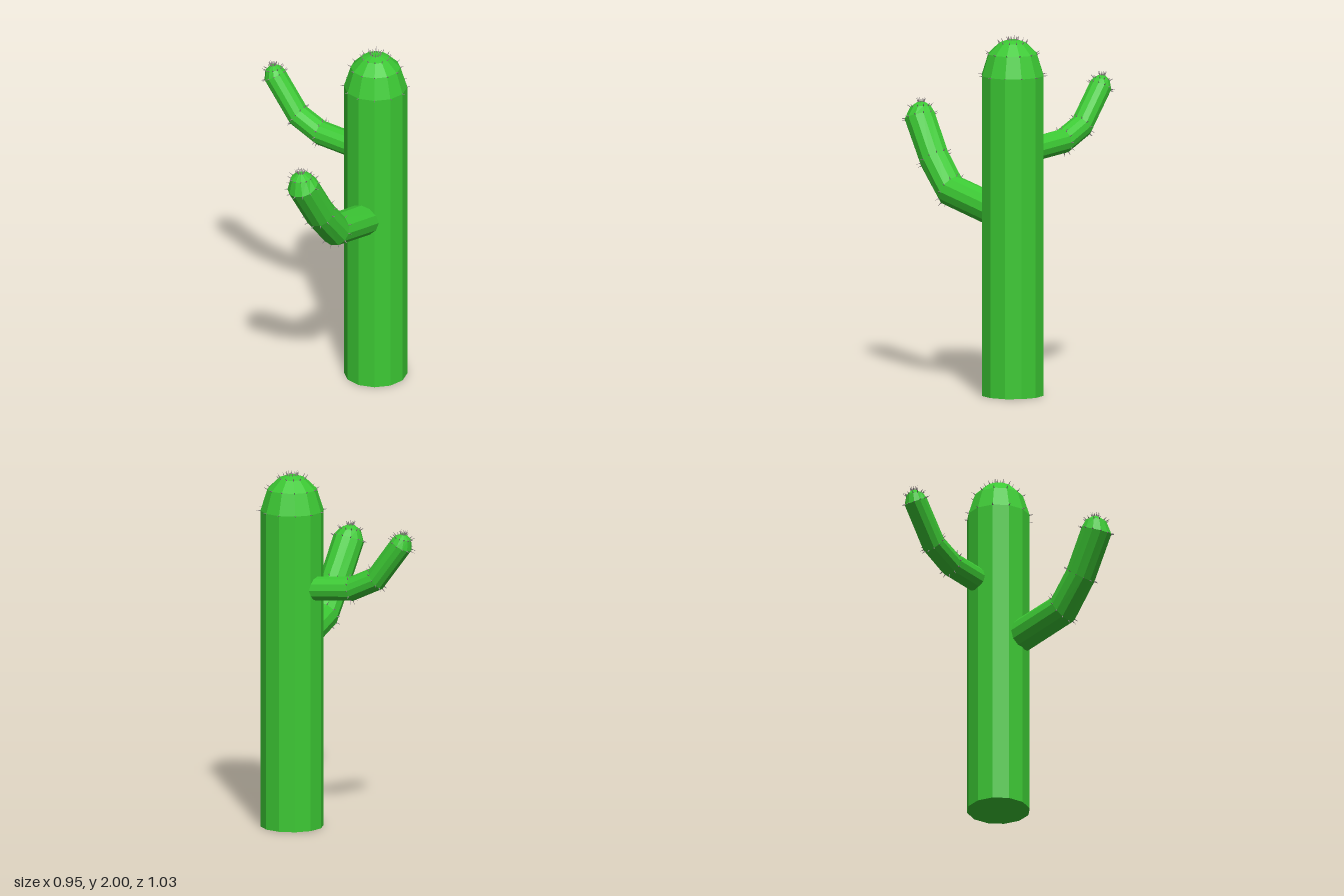
import * as THREE from 'three';
import { mergeGeometries } from 'three/addons/utils/BufferGeometryUtils.js';

const SIDES = 12;
const V = (x, y, z) => new THREE.Vector3(x, y, z);
const green = new THREE.MeshStandardMaterial({ color: 0x3cc934, flatShading: true });
const grey = new THREE.MeshStandardMaterial({ color: 0x8c8484, flatShading: true });

// ring: c centre, n facing, r radius, tilt = lean of its spines towards n (omit for none)
const ring = (c, n, r, tilt) => ({ c: V(...c), n: V(...n).normalize(), r, tilt });

// corners and outward directions of one ring
function corners({ c, n, r }, side) {
  const u = side.clone().addScaledVector(n, -side.dot(n)).normalize();
  const v = n.clone().cross(u);
  return Array.from({ length: SIDES }, (_, i) => {
    const a = (i / SIDES) * Math.PI * 2;
    const out = u.clone().multiplyScalar(Math.cos(a)).addScaledVector(v, Math.sin(a));
    return { out, p: c.clone().addScaledVector(out, r) };
  });
}

// faceted skin through the rings, closed at both ends
function loft(rings, side) {
  const pos = [];
  const tri = (...ps) => ps.forEach((p) => pos.push(p.x, p.y, p.z));
  const loops = rings.map((k) => corners(k, side).map((q) => q.p));
  const last = loops.length - 1;
  for (let i = 0; i < SIDES; i++) {
    const j = (i + 1) % SIDES;
    for (let k = 0; k < last; k++) {
      const a = loops[k], b = loops[k + 1];
      tri(a[i], a[j], b[j]);
      tri(a[i], b[j], b[i]);
    }
    tri(loops[0][j], loops[0][i], rings[0].c);
    tri(loops[last][i], loops[last][j], rings[last].c);
  }
  const g = new THREE.BufferGeometry();
  g.setAttribute('position', new THREE.Float32BufferAttribute(pos, 3));
  g.computeVertexNormals();
  return g;
}

// one thin cone at every corner of the rings that carry spines
function spines(rings, side) {
  const L = 0.028;
  const cones = [];
  rings.filter((k) => k.tilt !== undefined).forEach((k) => {
    corners(k, side).forEach(({ out, p }) => {
      const dir = out.clone().multiplyScalar(Math.cos(k.tilt)).addScaledVector(k.n, Math.sin(k.tilt));
      const g = new THREE.ConeGeometry(0.004, L, 5);
      g.translate(0, L / 2 - 0.004, 0);
      g.applyQuaternion(new THREE.Quaternion().setFromUnitVectors(V(0, 1, 0), dir));
      g.translate(p.x, p.y, p.z);
      cones.push(g);
    });
  });
  return mergeGeometries(cones);
}

function limb(name, side, rings) {
  const group = new THREE.Group();
  group.name = name;
  const skin = new THREE.Mesh(loft(rings, side), green);
  skin.name = name + 'Skin';
  const needles = new THREE.Mesh(spines(rings, side), grey);
  needles.name = name + 'Spines';
  group.add(skin, needles);
  return group;
}

export function createModel() {
  const model = new THREE.Group();
  model.name = 'cactus';
  const up = [0, 1, 0];
  const tx = 0.273, tz = -0.31;

  // upright trunk with domed top
  model.add(limb('trunk', V(1, 0, 0), [
    ring([tx, 0, tz], up, 0.175),
    ring([tx, 1.78, tz], up, 0.175, 0.15),
    ring([tx, 1.9, tz], up, 0.137, 0.5),
    ring([tx, 1.96, tz], up, 0.075, 0.95),
    ring([tx, 1.977, tz], up, 0.028, 1.2),
  ]));

  // slim upper arm reaching to the right side
  model.add(limb('rightArm', V(0, 0, 1), [
    ring([0.2, 1.35, -0.337], [-1, 0.07, 0], 0.068),
    ring([-0.1, 1.375, -0.337], [-1, 0.15, 0], 0.068, 0.1),
    ring([-0.248, 1.445, -0.337], [-0.82, 0.57, 0], 0.066, 0.1),
    ring([-0.4, 1.65, -0.337], [-0.5, 0.85, 0], 0.064, 0.15),
    ring([-0.409, 1.688, -0.337], [-0.25, 0.97, 0], 0.046, 0.6),
    ring([-0.412, 1.71, -0.337], [-0.1, 1, 0], 0.015, 1.15),
  ]));

  // thicker lower arm reaching forward
  model.add(limb('frontArm', V(1, 0, 0), [
    ring([0.288, 1, -0.25], [0, 0.25, 1], 0.09),
    ring([0.292, 1.095, 0.14], [0, 0.45, 0.9], 0.09, 0.1),
    ring([0.28, 1.255, 0.278], [-0.07, 0.8, 0.62], 0.086, 0.1),
    ring([0.255, 1.475, 0.414], [-0.1, 0.92, 0.38], 0.087, 0.15),
    ring([0.247, 1.53, 0.417], [-0.05, 0.98, 0.15], 0.058, 0.65),
    ring([0.244, 1.555, 0.415], up, 0.017, 1.15),
  ]));
  return model;
}
